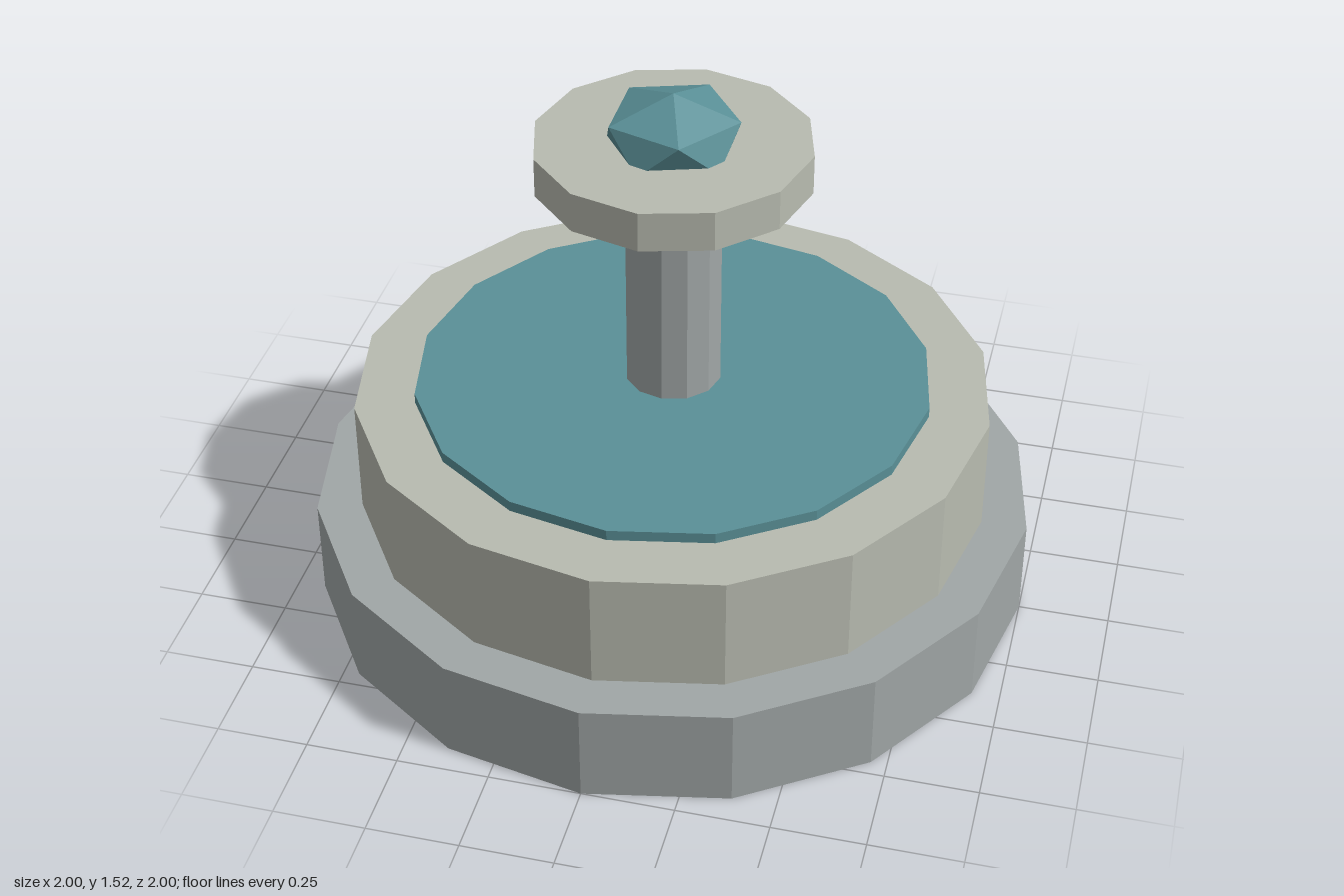
import * as THREE from 'three';

const paint = (color) => new THREE.MeshStandardMaterial({ color, flatShading: true });

export function createModel() {
  const model = new THREE.Group();
  const grey = paint(0xa0a6a6);
  const stone = paint(0xb8bbb0);
  const teal = paint(0x5a9097);

  // Upright faceted disc between two heights
  function disc(name, radius, bottom, top, sides, material) {
    const geometry = new THREE.CylinderGeometry(radius, radius, top - bottom, sides);
    const mesh = new THREE.Mesh(geometry, material);
    mesh.name = name;
    mesh.position.y = (bottom + top) / 2;
    model.add(mesh);
  }

  // Stepped plinth with a thin inlay on top
  disc('base', 1, 0, 0.283, 16, grey);
  disc('upperTier', 0.875, 0.283, 0.615, 16, stone);
  disc('inlay', 0.71, 0.615, 0.645, 16, teal);

  // Column and its cap plate
  disc('column', 0.132, 0.645, 1.275, 12, grey);
  disc('capPlate', 0.372, 1.275, 1.386, 12, stone);

  // Flattened icosahedron standing on a vertex, sunk into the cap plate
  const gemGeometry = new THREE.IcosahedronGeometry(0.2, 0);
  gemGeometry.rotateZ(-Math.atan(2 / (1 + Math.sqrt(5))));
  gemGeometry.scale(1, 0.55, 1);
  gemGeometry.computeVertexNormals();
  const gem = new THREE.Mesh(gemGeometry, teal);
  gem.name = 'gem';
  gem.position.y = 1.41;
  model.add(gem);

  return model;
}
